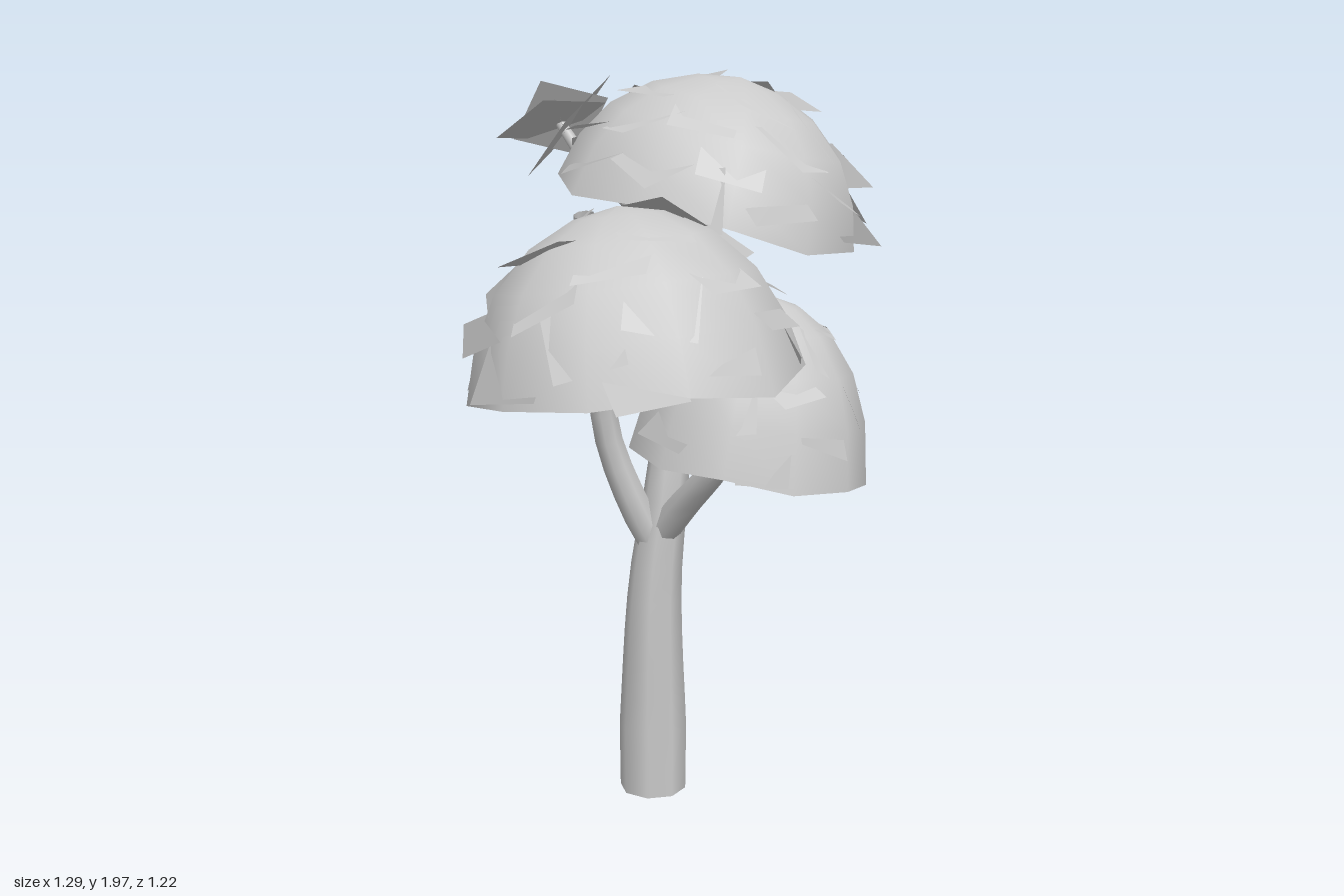
import * as THREE from 'three';

const material = new THREE.MeshStandardMaterial({ color: 0xcccccc, side: THREE.DoubleSide });
const v = (p) => new THREE.Vector3(...p);

// Small seeded random, returning -1..1
let seed = 7;
function rand() {
  seed = (seed * 16807) % 2147483647;
  return (seed / 2147483647) * 2 - 1;
}

function mesh(name, geometry) {
  const m = new THREE.Mesh(geometry, material);
  m.name = name;
  return m;
}

// Tapered limb: each point is [x, y, z, radius]
function limb(name, points, sides = 8) {
  const curve = new THREE.CatmullRomCurve3(points.map((p) => v(p.slice(0, 3))), false, 'centripetal');
  const steps = (points.length - 1) * 3;
  const geo = new THREE.TubeGeometry(curve, steps, 1, sides, false);
  const pos = geo.attributes.position;
  const p = new THREE.Vector3();
  for (let i = 0; i <= steps; i++) {
    const centre = curve.getPointAt(i / steps);
    const t = curve.getUtoTmapping(i / steps) * (points.length - 1);
    const k = Math.min(Math.floor(t), points.length - 2);
    const radius = THREE.MathUtils.lerp(points[k][3], points[k + 1][3], t - k);
    for (let j = 0; j <= sides; j++) {
      const n = i * (sides + 1) + j;
      p.fromBufferAttribute(pos, n).sub(centre).multiplyScalar(radius).add(centre);
      pos.setXYZ(n, p.x, p.y, p.z);
    }
  }
  return mesh(name, geo);
}

// Open dome of foliage with square leaf cards poking through it like shingles
function canopy(name, { at, size, tilt, leaves, leafSize }) {
  const group = new THREE.Group();
  group.name = name;
  const profile = [[1, 0], [0.92, 0.32], [0.77, 0.6], [0.54, 0.82], [0.27, 0.95], [0, 1]];
  const sides = 11;
  const dome = new THREE.LatheGeometry(profile.map(([r, y]) => new THREE.Vector2(r, y)), sides);
  dome.scale(...size);
  // Ragged rim
  const pos = dome.attributes.position;
  const drops = Array.from({ length: sides }, () => rand() * 0.025);
  for (let i = 0; i <= sides; i++) pos.setY(i * profile.length, drops[i % sides]);
  group.add(mesh(name + 'Dome', dome));

  for (let i = 0; i < leaves; i++) {
    const h = 0.12 + 0.86 * (i / leaves);
    const a = i * 2.39996;
    const r = Math.sqrt(1 - h * h) * 0.9;
    const spot = new THREE.Vector3(r * Math.cos(a), h * 0.95, r * Math.sin(a));
    const normal = spot.clone().divide(v(size)).normalize();
    const card = mesh('leafCard', new THREE.PlaneGeometry(leafSize, leafSize));
    card.position.copy(spot).multiply(v(size));
    // Flatter than the dome, so the lower edge stands out
    card.lookAt(card.position.clone().add(normal).add(v([0, 0.6, 0])));
    card.rotateX(rand() * 0.4);
    card.rotateY(rand() * 0.3);
    card.rotateZ(rand() * 0.5);
    // Shade the card like the dome around it
    const shade = normal.applyQuaternion(card.quaternion.clone().invert());
    for (let k = 0; k < 4; k++) card.geometry.attributes.normal.setXYZ(k, shade.x, shade.y, shade.z);
    group.add(card);
  }
  group.position.set(...at);
  group.rotation.set(...tilt);
  return group;
}

export function createModel() {
  const tree = new THREE.Group();
  tree.name = 'tree';

  // Trunk and branches
  tree.add(limb('trunk', [
    [0.06, 0, -0.087, 0.092], [0.06, 0.2, -0.087, 0.094], [0.065, 0.6, -0.084, 0.073],
    [0.1, 0.9, -0.075, 0.058], [0.145, 1.2, -0.098, 0.048], [0.2, 1.5, -0.1, 0.04],
    [0.215, 1.66, -0.09, 0.034]]));
  tree.add(limb('frontBranch', [
    [0.075, 0.74, -0.07, 0.042], [0.08, 0.84, 0.02, 0.042], [0.09, 0.99, 0.17, 0.034],
    [0.11, 1.14, 0.25, 0.026]]));
  tree.add(limb('sideBranch', [
    [0.06, 0.72, -0.085, 0.045], [0.01, 0.82, -0.1, 0.045], [-0.06, 1.02, -0.125, 0.038],
    [-0.1, 1.25, -0.11, 0.034], [-0.18, 1.63, -0.05, 0.028]]));
  tree.add(limb('twig', [
    [0.2, 1.5, -0.1, 0.026], [0.15, 1.58, -0.25, 0.022], [0.06, 1.72, -0.4, 0.018],
    [0.02, 1.84, -0.49, 0.014]], 6));

  // Foliage domes
  tree.add(canopy('sideCanopy', {
    at: [-0.2, 1.23, 0.21], size: [0.43, 0.45, 0.41], tilt: [-0.16, 0.286, 0.02], leaves: 30, leafSize: 0.18 }));
  tree.add(canopy('frontCanopy', {
    at: [0.13, 1.005, 0.23], size: [0.315, 0.43, 0.31], tilt: [0.07, 0.286, -0.12], leaves: 26, leafSize: 0.13 }));
  tree.add(canopy('topCanopy', {
    at: [0.22, 1.61, -0.065], size: [0.4, 0.355, 0.42], tilt: [0.14, 0, -0.19], leaves: 30, leafSize: 0.17 }));

  // Tuft of crossed leaf cards at the twig tip
  const tuft = new THREE.Group();
  tuft.name = 'twigTuft';
  const cards = [
    { at: [-0.02, 1.83, -0.45], facing: [0, 0.85, -0.5], size: 0.22, roll: 0.15 },
    { at: [0.05, 1.81, -0.47], facing: [-0.45, 0.5, -0.42], size: 0.25, roll: -0.6 },
    { at: [0.03, 1.83, -0.48], facing: [0.3, 0.5, -0.75], size: 0.2, roll: 0.3 },
    { at: [0.03, 1.84, -0.49], facing: [0.7, 0.25, 0.4], size: 0.13, roll: 0.4 }];
  for (const { at, facing, size, roll } of cards) {
    const card = mesh('leafCard', new THREE.PlaneGeometry(size, size));
    card.lookAt(v(facing));
    card.rotateZ(roll);
    card.position.set(...at);
    tuft.add(card);
  }
  tree.add(tuft);

  return tree;
}
